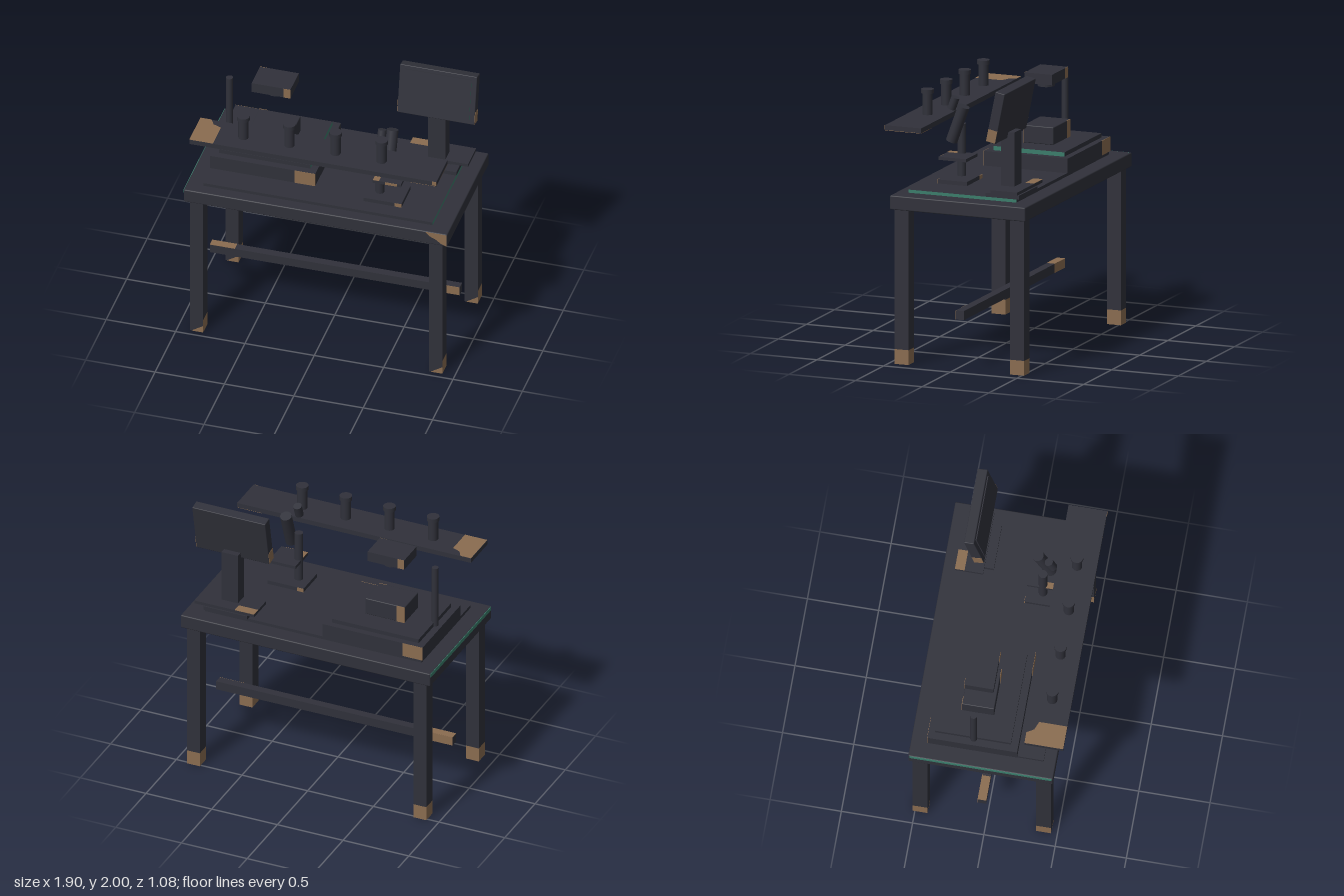
import * as THREE from 'three';
import { RoundedBoxGeometry } from 'three/addons/geometries/RoundedBoxGeometry.js';

const material = (name, color) => {
  const m = new THREE.MeshStandardMaterial({ color });
  m.name = name;
  return m;
};

export function createModel() {
  const dark = material('charcoal', 0x30313a);
  const brown = material('worn brown', 0x8a6c50);
  const green = material('teal edge', 0x3a7d6b);
  const root = new THREE.Group();
  root.name = 'laboratoryBench';

  const add = (name, geometry, mat, x = 0, y = 0, z = 0, parent = root) => {
    const mesh = new THREE.Mesh(geometry, mat);
    mesh.name = name;
    mesh.position.set(x, y, z);
    parent.add(mesh);
    return mesh;
  };
  // Box given by its limits on each axis; mat may be one material or six (+x -x +y -y +z -z)
  const box = (name, [x0, x1], [y0, y1], [z0, z1], mat = dark, parent = root) =>
    add(name, new THREE.BoxGeometry(x1 - x0, y1 - y0, z1 - z0), mat,
      (x0 + x1) / 2, (y0 + y1) / 2, (z0 + z1) / 2, parent);
  const rounded = (name, [x0, x1], [y0, y1], [z0, z1], r, parent = root) =>
    add(name, new RoundedBoxGeometry(x1 - x0, y1 - y0, z1 - z0, 2, r), dark,
      (x0 + x1) / 2, (y0 + y1) / 2, (z0 + z1) / 2, parent);
  const cylinder = (name, r, y0, y1, x, z) =>
    add(name, new THREE.CylinderGeometry(r, r, y1 - y0, 24), dark, x, (y0 + y1) / 2, z);
  // Flat polygon facing the front
  const patch = (name, points, z) =>
    add(name, new THREE.ShapeGeometry(new THREE.Shape(points.map(p => new THREE.Vector2(...p)))), brown, 0, 0, z);
  // Worn plates at the +x end of the front and the -x end of the back
  const t = 0.002;
  const wornEnds = (name, [x0, x1], y, [z0, z1], w) => {
    box(name + 'FrontWear', [x1 - w, x1], y, [z1 - t, z1 + t], brown);
    box(name + 'BackWear', [x0, x0 + w], y, [z0 - t, z0 + t], brown);
  };

  // Table top, with worn front corner and coloured end edge
  rounded('tableTop', [-0.95, 0.95], [1.1, 1.2], [-0.54, 0.475], 0.008);
  patch('tableCornerWear',
    [[0.79, 1.198], [0.82, 1.168], [0.87, 1.145], [0.91, 1.115], [0.947, 1.103], [0.947, 1.198]], 0.477);
  box('tableEdgeStripe', [-0.952, -0.948], [1.17, 1.198], [-0.53, 0.465], green);
  const underside = add('tableUndersideWear', new THREE.ShapeGeometry(new THREE.Shape([
    [0.94, -0.53], [0.94, -0.2], [0.85, -0.1], [0.72, -0.22], [0.62, -0.4], [0.6, -0.53],
  ].map(p => new THREE.Vector2(...p)))), brown, 0, 1.098, 0);
  underside.rotation.x = Math.PI / 2;

  // Legs with worn feet
  for (const x of [-0.862, 0.862]) {
    for (const z of [0.403, -0.463]) {
      const xs = [x - 0.048, x + 0.048], zs = [z - 0.052, z + 0.052];
      box('leg', xs, [0.105, 1.1], zs);
      box('foot', xs, [0, 0.105], zs, [brown, brown, dark, dark, dark, brown]);
      patch('footWear', [[xs[0] + 0.01, 0], [xs[1], 0], [xs[1], 0.055]], zs[1] + t);
    }
  }

  // Stretcher
  const rail = [[-0.9, 0.9], [0.352, 0.416], [-0.06, 0]];
  box('stretcher', ...rail);
  wornEnds('stretcher', ...rail, 0.19);
  box('stretcherTopWear', [-0.9, -0.72], [0.415, 0.418], [-0.06, 0], brown);

  // Work mat
  box('workMat', [-0.83, 0.82], [1.2, 1.222], [-0.42, 0.39], [green, dark, dark, dark, dark, dark]);

  // Instrument: base, plate, sample block, post and overhead camera
  const base = [[-0.84, -0.08], [1.222, 1.325], [-0.425, 0.205]];
  box('instrumentBase', ...base);
  wornEnds('instrumentBase', ...base, 0.15);
  box('instrumentPlate', [-0.79, -0.13], [1.325, 1.355], [-0.38, 0.153],
    [green, dark, dark, dark, dark, dark]);
  const block = [[-0.61, -0.31], [1.355, 1.48], [-0.222, 0.004]];
  rounded('sampleBlock', ...block, 0.006);
  wornEnds('sampleBlock', ...block, 0.06);
  cylinder('instrumentPost', 0.024, 1.325, 1.788, -0.79, -0.108);
  const cam = [[-0.6, -0.32], [1.776, 1.85], [-0.207, -0.002]];
  box('overheadCamera', ...cam);
  wornEnds('overheadCamera', ...cam, 0.05);
  // Lens barrel, hollow underneath
  add('cameraLens', new THREE.LatheGeometry([
    [0, 1.765], [0.035, 1.765], [0.035, 1.738], [0.06, 1.738], [0.06, 1.778],
  ].map(p => new THREE.Vector2(...p)), 24).toNonIndexed(), dark, -0.46, 0, -0.105).geometry.computeVertexNormals();

  // Shelf with four capped bottles
  box('shelf', [-0.89, 0.89], [1.645, 1.68], [0.265, 0.537]);
  const wear = add('shelfTopWear', new THREE.ShapeGeometry(new THREE.Shape([
    [-0.89, -0.265], [-0.89, -0.537], [-0.72, -0.537], [-0.72, -0.34], [-0.78, -0.315], [-0.81, -0.265],
  ].map(p => new THREE.Vector2(...p)))), brown, 0, 1.682, 0);
  wear.rotation.x = -Math.PI / 2;
  box('shelfUnderWear', [0.7, 0.89], [1.643, 1.646], [0.265, 0.537], brown);
  box('shelfFrontWear', [0.86, 0.89], [1.65, 1.68], [0.536, 0.539], brown);
  for (let i = 0; i < 4; i++) {
    const x = -0.54 + i * 0.332;
    cylinder('bottle', 0.036, 1.68, 1.832, x, 0.4);
    cylinder('bottleCap', 0.044, 1.83, 1.86, x, 0.4);
  }

  // Microscope
  const scopeBase = [[0.29, 0.563], [1.222, 1.25], [0.06, 0.28]];
  box('microscopeBase', ...scopeBase);
  wornEnds('microscopeBase', ...scopeBase, 0.05);
  cylinder('microscopePost', 0.03, 1.25, 1.62, 0.378, 0.175);
  box('microscopeStage', [0.355, 0.557], [1.388, 1.41], [0.068, 0.275]);
  box('stageTopWear', [0.355, 0.4], [1.409, 1.412], [0.2, 0.275], brown);
  box('stageFrontWear', [0.445, 0.53], [1.39, 1.41], [0.274, 0.277], brown);
  const tube = add('microscopeTube', new THREE.CylinderGeometry(0.041, 0.041, 0.27, 24), dark, 0.455, 1.633, 0.173);
  const eyepiece = add('eyepiece', new THREE.CylinderGeometry(0.03, 0.03, 0.09, 20), dark, 0.405, 1.765, 0.226);
  tube.rotation.x = eyepiece.rotation.x = -0.35;

  // Monitor stand
  box('monitorFoot', [0.49, 0.82], [1.222, 1.25], [-0.44, -0.19]);
  box('monitorFootRiser', [0.56, 0.76], [1.25, 1.266], [-0.42, -0.27]);
  box('monitorBasePlate', [0.43, 0.885], [1.265, 1.287], [-0.453, -0.255]);
  box('basePlateWear', [0.43, 0.577], [1.286, 1.289], [-0.453, -0.385], brown);
  box('monitorColumn', [0.595, 0.72], [1.287, 1.67], [-0.362, -0.263]);

  // Tilted monitor
  const monitor = new THREE.Group();
  monitor.name = 'monitor';
  monitor.position.set(0.657, 1.813, -0.31);
  monitor.rotation.x = -0.2;
  root.add(monitor);
  rounded('monitorCase', [-0.278, 0.278], [-0.183, 0.183], [-0.036, 0.036], 0.005, monitor);
  box('screen', [-0.24, 0.24], [-0.15, 0.155], [0.034, 0.043],
    [green, dark, dark, dark, dark, dark], monitor);
  for (const s of [-1, 1]) {
    box('monitorSideWear', [s * 0.278 - t, s * 0.278 + t], [-0.178, -0.09], [-0.034, 0.034], brown, monitor);
  }
  return root;
}
